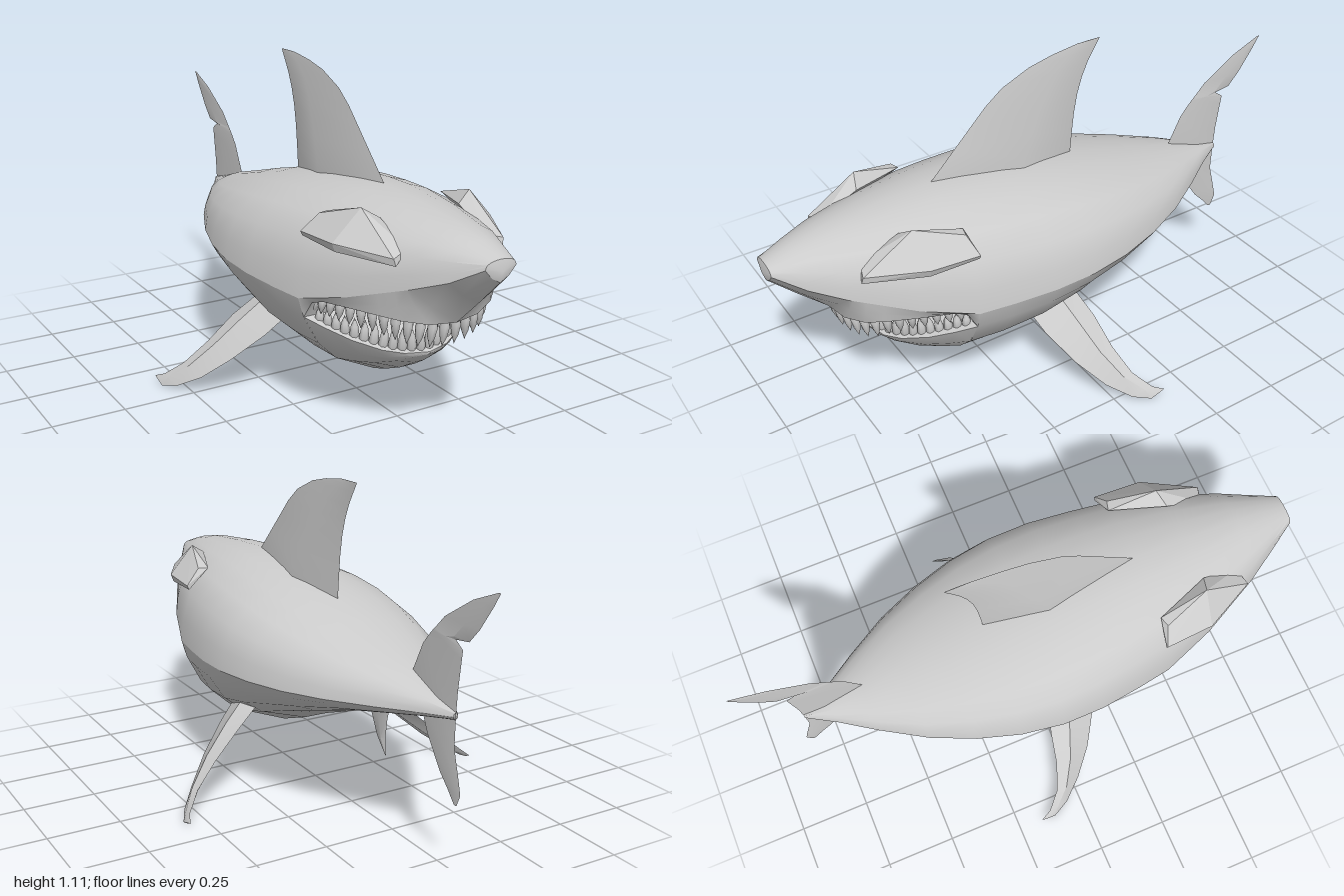
import * as THREE from 'three';
import { toCreasedNormals } from 'three/addons/utils/BufferGeometryUtils.js';
import { ConvexGeometry } from 'three/addons/geometries/ConvexGeometry.js';

const skin = new THREE.MeshStandardMaterial({ color: 0xcccccc, side: THREE.DoubleSide });
const facet = new THREE.MeshStandardMaterial({ color: 0xcccccc, flatShading: true });

// Body stations: z, top y, half width, y of the widest line, bottom y
const STATIONS = [
  [0.99, 0.69, 0.055, 0.665, 0.62], [0.9, 0.72, 0.11, 0.61, 0.53], [0.8, 0.74, 0.17, 0.57, 0.435],
  [0.6, 0.76, 0.265, 0.5, 0.25], [0.42, 0.77, 0.325, 0.45, 0.15], [0.3, 0.765, 0.345, 0.452, 0.152],
  [0.15, 0.752, 0.365, 0.457, 0.18], [0, 0.73, 0.367, 0.462, 0.235], [-0.15, 0.7, 0.345, 0.467, 0.3],
  [-0.3, 0.662, 0.3, 0.472, 0.355], [-0.45, 0.62, 0.235, 0.48, 0.41], [-0.6, 0.58, 0.145, 0.487, 0.445],
  [-0.72, 0.54, 0.065, 0.493, 0.47], [-0.82, 0.512, 0.008, 0.5, 0.49],
];
// Half cross-sections: x as a share of half width, y as a share of the height above or below the widest line
const BACK = [[0, 1], [0.25, 0.97], [0.46, 0.9], [0.7, 0.77], [0.88, 0.55], [0.97, 0.25], [1, 0]];
const BELLY = [[0, 1], [0.12, 1], [0.57, 0.77], [0.78, 0.55], [0.94, 0.22], [1, 0]];
const JAW = [[0, 1], [0.13, 1], [0.61, 0.705], [0.83, 0.42], [1, 0]];
// Lips: x, y, z from the middle to the corner; the lower lip also has the chin height
const UPPER_LIP = [[0, 0.435, 0.8], [0.09, 0.44, 0.785], [0.165, 0.455, 0.75], [0.205, 0.462, 0.7],
  [0.25, 0.462, 0.6], [0.28, 0.455, 0.5], [0.293, 0.44, 0.45], [0.3055, 0.384, 0.42]];
const LOWER_LIP = [[0, 0.292, 0.668, 0.285], [0.08, 0.297, 0.65, 0.27], [0.14, 0.308, 0.615, 0.24],
  [0.21, 0.332, 0.55, 0.2], [0.265, 0.36, 0.48, 0.17], [0.3055, 0.384, 0.42, 0.15]];

// Linear reading of the station table
function bodyAt(z) {
  let i = 0;
  while (i < STATIONS.length - 2 && z < STATIONS[i + 1][0]) i++;
  const a = STATIONS[i], b = STATIONS[i + 1], t = (a[0] - z) / (a[0] - b[0]);
  return a.map((v, k) => v + (b[k] - v) * t);
}

// Surface through rows of points
function sheet(name, rows, crease = 0.7) {
  const n = rows[0].length, index = [];
  for (let r = 0; r < rows.length - 1; r++) {
    for (let c = 0; c < n - 1; c++) {
      const a = r * n + c;
      index.push(a, a + 1, a + n, a + 1, a + n + 1, a + n);
    }
  }
  const g = new THREE.BufferGeometry();
  g.setAttribute('position', new THREE.Float32BufferAttribute(rows.flat(2), 3));
  g.setIndex(index);
  const mesh = new THREE.Mesh(toCreasedNormals(g, crease), skin);
  mesh.name = name;
  return mesh;
}

// Full row from a half row that starts on the centre line
const both = (half) => [...half.slice(1).reverse().map(([x, y, z]) => [-x, y, z]), ...half];

function mirrored(object) {
  const copy = object.clone();
  copy.scale.x = -1;
  return copy;
}

// Diamond-section fin; each section is [lead, trail, half thickness]
function fin(name, sections, normal) {
  const rows = sections.map(([lead, trail, t]) => {
    const side = (s) => lead.map((v, k) => v * 0.4 + trail[k] * 0.6 + normal[k] * t * s);
    return [lead, side(1), trail, side(-1), lead];
  });
  const tip = rows[rows.length - 1];
  rows.push(tip.map(() => tip[0].map((v, k) => (v + tip[2][k]) / 2)));
  return sheet(name, rows, 0.5);
}
// Upright fin on the centre line from rows of [y, lead z, trail z, half thickness]
const uprightFin = (name, levels) =>
  fin(name, levels.map(([y, a, b, t]) => [[0, y, a], [0, y, b], t]), [1, 0, 0]);

// Row of pointed teeth along a lip
function teeth(name, lip, count, up) {
  const group = new THREE.Group();
  group.name = name;
  const curve = new THREE.CatmullRomCurve3(
    both(lip.map(([x, y, z]) => [x * 0.92, y - up * 0.012, z - 0.025])).map((p) => new THREE.Vector3(...p)));
  const profile = [[0.008, 0], [0.0165, 0.3], [0.012, 0.65], [0, 1]].map((p) => new THREE.Vector2(...p));
  const geometry = new THREE.LatheGeometry(profile, 7);
  for (let i = 0; i < count; i++) {
    const t = 0.06 + 0.88 * i / (count - 1);
    const tooth = new THREE.Mesh(geometry, skin);
    tooth.name = 'tooth';
    tooth.position.copy(curve.getPointAt(t));
    tooth.scale.set(1, 0.055 + 0.042 * Math.sin(Math.PI * t), 1);
    tooth.rotation.set(up > 0 ? 0.08 : Math.PI + 0.1, 0, 0.09 * Math.sin(i * 7));
    group.add(tooth);
  }
  return group;
}

export function createModel() {
  const model = new THREE.Group();
  model.name = 'shark';

  // Back, from snout to tail
  model.add(sheet('back', STATIONS.map(([z, top, w, mid]) =>
    both(BACK.map(([x, y]) => [x * w, mid + (top - mid) * y, z])))));

  // Belly behind the mouth
  model.add(sheet('belly', STATIONS.filter((s) => s[0] <= 0.42).map(([z, , w, mid, low]) =>
    both(BELLY.map(([x, y]) => [x * w, mid + (low - mid) * y, z])))));

  // Blunt nose
  const [nz, nTop, nW, nMid, nLow] = STATIONS[0];
  const rim = [...both(BACK.map(([x, y]) => [x * nW, nMid + (nTop - nMid) * y, nz])),
    [nW * 0.55, 0.637, nz], [0, nLow, nz], [-nW * 0.55, 0.637, nz], [-nW, nMid, nz]];
  model.add(sheet('nose', [rim.map(() => [0, 0.655, 1]), rim]));

  // Snout underside and cheeks, down to the upper lip
  const snout = STATIONS.slice(0, 2).map((s) => [0, s[4], s[0]]);
  const cheek = sheet('cheek', [...snout, ...UPPER_LIP].map(([x, y, z]) => {
    const [, , w, mid] = bodyAt(z);
    const bulge = z > 0.8 ? 0.005 : 0;
    return [[x, y, z], [x + (w - x) * 0.55, y + (mid - y) * 0.5 - bulge, z], [w, mid, z]];
  }));
  model.add(cheek, mirrored(cheek));

  // Lower jaw
  model.add(sheet('lowerJaw', LOWER_LIP.map(([x, y, z, chin]) =>
    both(JAW.map(([a, b]) => [x * a, y + (chin - y) * b, z])))));

  // Mouth lining
  model.add(sheet('palate', UPPER_LIP.map(([x, y, z], i) => {
    const rise = i === 0 || i === UPPER_LIP.length - 1 ? 0 : 0.025;
    return both([[0, y + rise, z], [x * 0.8, y + rise, z], [x, y, z]]);
  })));
  model.add(sheet('mouthFloor', LOWER_LIP.map(([x, y, z]) => both([[0, y, z], [x, y, z]]))));

  model.add(teeth('upperTeeth', UPPER_LIP, 26, -1), teeth('lowerTeeth', LOWER_LIP, 24, 1));

  // Angular brows
  const brow = new THREE.Mesh(new ConvexGeometry([
    [0.195, 0.632, 0.76], [0.2, 0.655, 0.755], [0.14, 0.67, 0.735], [0.2, 0.765, 0.58], [0.145, 0.73, 0.6],
    [0.295, 0.665, 0.57], [0.285, 0.638, 0.57], [0.25, 0.715, 0.42], [0.305, 0.66, 0.4],
    [0.298, 0.645, 0.4], [0.215, 0.715, 0.41],
  ].map((p) => new THREE.Vector3(...p))), facet);
  brow.name = 'brow';
  model.add(brow, mirrored(brow));

  // Fins on the centre line
  model.add(uprightFin('dorsalFin', [
    [0.68, 0.44, -0.148, 0.055], [0.77, 0.4, -0.155, 0.05], [0.85, 0.32, -0.163, 0.039],
    [0.92, 0.25, -0.175, 0.03], [0.98, 0.19, -0.193, 0.021], [1.03, 0.125, -0.215, 0.013],
    [1.075, 0.02, -0.242, 0.006], [1.095, -0.07, -0.255, 0.003], [1.108, -0.17, -0.262, 0.001]]));
  model.add(uprightFin('tailFin', [
    [0.22, -0.825, -0.838, 0.001], [0.26, -0.79, -0.855, 0.003], [0.3, -0.75, -0.845, 0.004],
    [0.4, -0.68, -0.818, 0.006], [0.5, -0.635, -0.82, 0.007], [0.58, -0.595, -0.825, 0.007],
    [0.68, -0.645, -0.838, 0.006], [0.71, -0.67, -0.842, 0.006], [0.733, -0.692, -0.808, 0.006],
    [0.742, -0.702, -0.87, 0.005], [0.79, -0.75, -0.915, 0.004], [0.87, -0.88, -0.972, 0.003],
    [0.915, -0.99, -1, 0.001]]));
  model.add(uprightFin('analFin', [
    [0.43, -0.34, -0.475, 0.012], [0.37, -0.365, -0.46, 0.01], [0.3, -0.4, -0.45, 0.006],
    [0.245, -0.45, -0.457, 0.001]]));

  // Swept pectoral fins
  const pectoral = fin('pectoralFin', [
    [[0.22, 0.3, 0.18], [0.22, 0.33, 0.0], 0.028], [[0.3, 0.225, 0.15], [0.33, 0.245, -0.03], 0.024],
    [[0.4, 0.135, 0.09], [0.42, 0.16, -0.045], 0.02], [[0.48, 0.06, 0.02], [0.5, 0.085, -0.075], 0.014],
    [[0.54, 0.016, -0.05], [0.552, 0.036, -0.125], 0.008], [[0.57, 0.001, -0.11], [0.57, 0.018, -0.165], 0.003],
  ], [0.65, 0.75, 0]);
  model.add(pectoral, mirrored(pectoral));

  return model;
}
